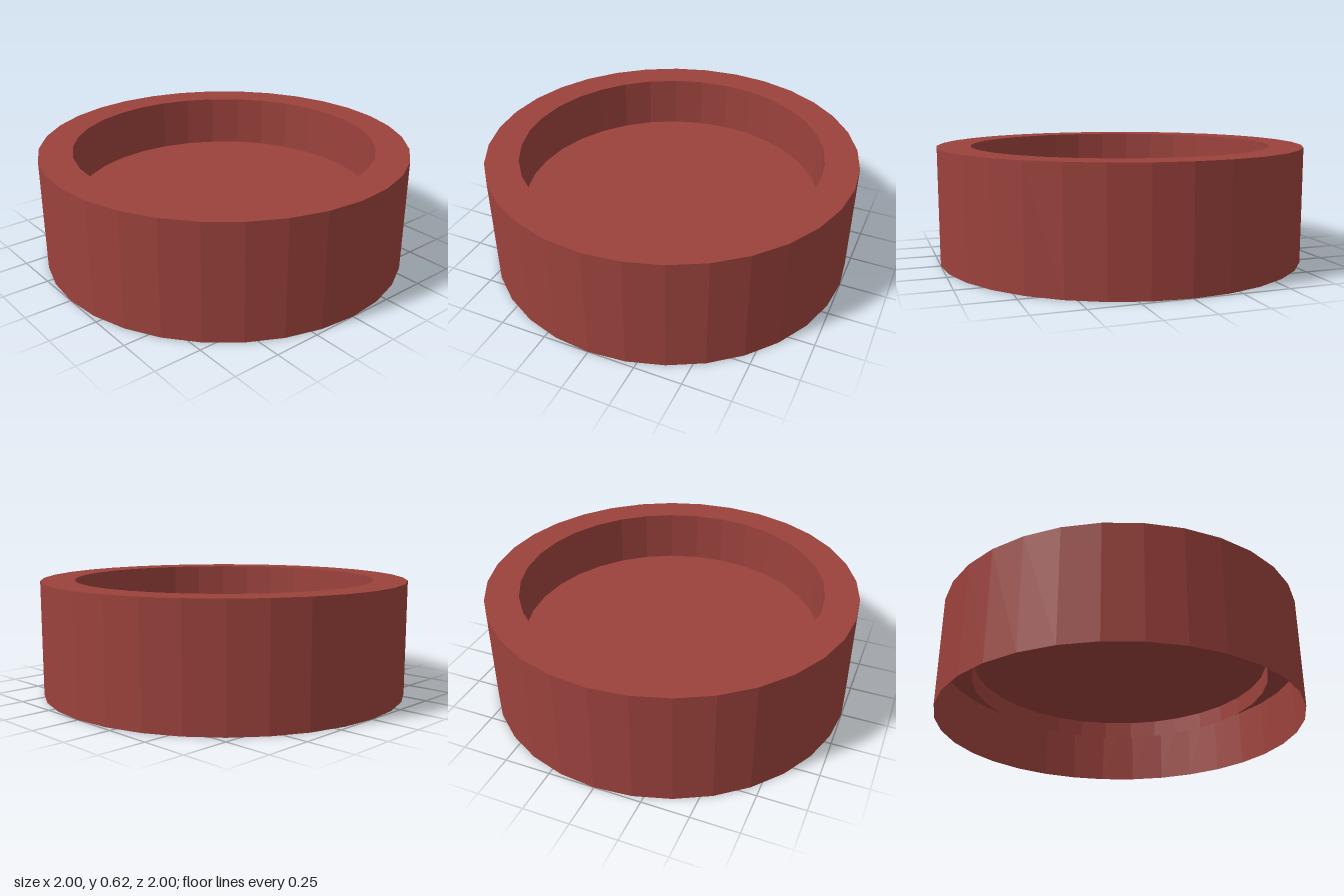
import * as THREE from 'three';

const SEGMENTS = 32;
const OUTER = 1, INNER = 0.82;
const TOP = 0.62, FLOOR = 0.33, LIP = 0.23;

export function createModel() {
  const group = new THREE.Group();
  group.name = 'roundTray';
  const material = new THREE.MeshStandardMaterial({
    color: 0x9c423c, flatShading: true, side: THREE.DoubleSide,
  });

  // Thin shell: outer wall, flat rim, and inner wall reaching below the floor
  const profile = [[OUTER, 0], [OUTER, TOP], [INNER, TOP], [INNER, LIP]]
    .map(([r, y]) => new THREE.Vector2(r, y));
  const shell = new THREE.Mesh(new THREE.LatheGeometry(profile, SEGMENTS), material);
  shell.name = 'wallAndRim';
  group.add(shell);

  // Floor plate spanning the full width inside the open-bottomed shell
  const floor = new THREE.Mesh(new THREE.CircleGeometry(OUTER, SEGMENTS), material);
  floor.name = 'floorPlate';
  floor.rotation.x = -Math.PI / 2;
  floor.position.y = FLOOR;
  group.add(floor);

  return group;
}
